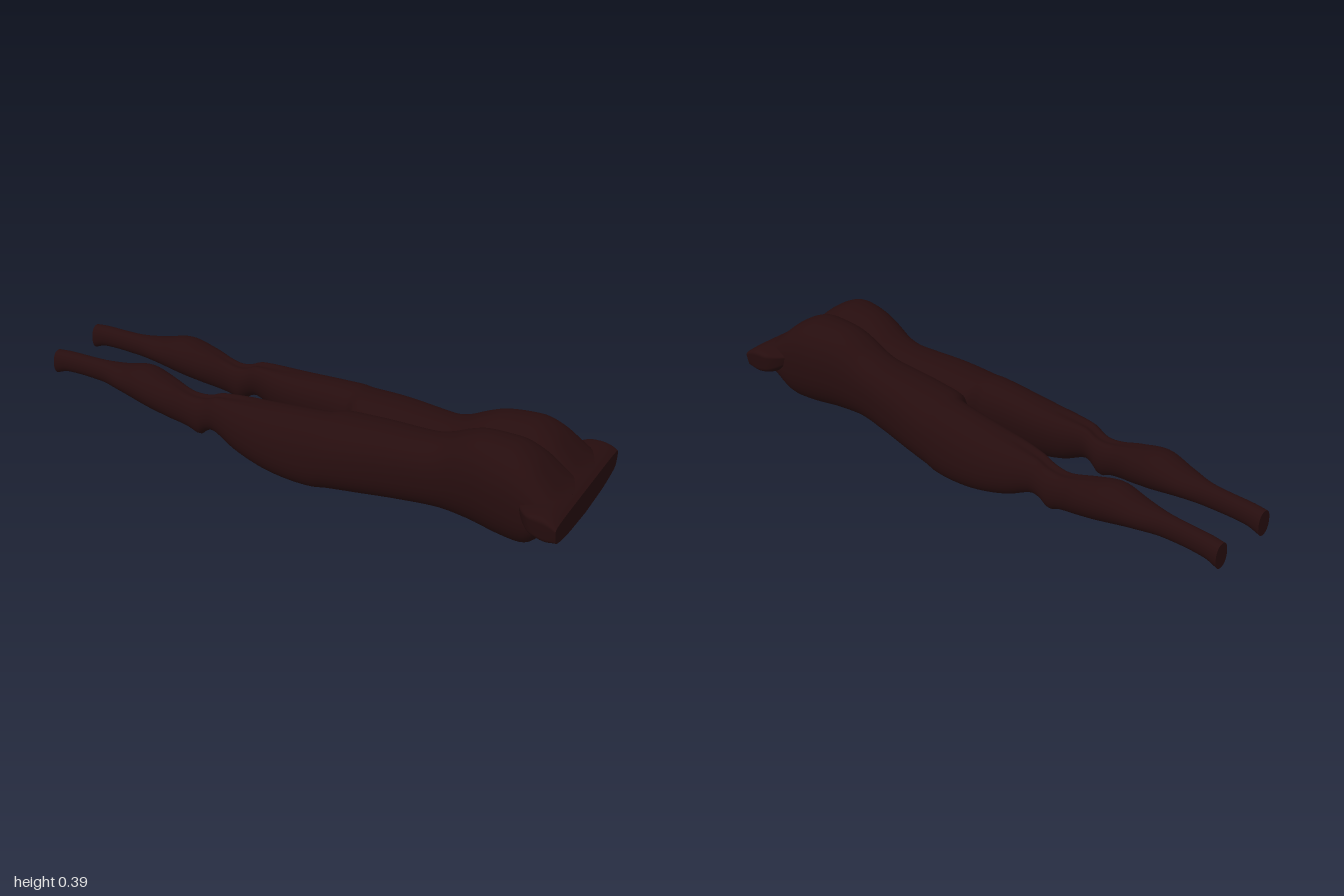
import * as THREE from 'three';

const bronze = new THREE.MeshStandardMaterial({ color: 0x260d0e });
bronze.name = 'darkBronze';

// Smoothly interpolated profile through [x, value] points
function profile(pts) {
  return x => {
    let i = 0;
    while (i < pts.length - 2 && x > pts[i + 1][0]) i++;
    const [x0, a] = pts[i], [x1, b] = pts[i + 1];
    const slope = k => {
      const p = pts[Math.max(k - 1, 0)], q = pts[Math.min(k + 1, pts.length - 1)];
      return (q[1] - p[1]) / (q[0] - p[0]);
    };
    const h = x1 - x0, t = THREE.MathUtils.clamp((x - x0) / h, 0, 1), t2 = t * t, t3 = t2 * t;
    return a * (2 * t3 - 3 * t2 + 1) + slope(i) * h * (t3 - 2 * t2 + t)
      + b * (3 * t2 - 2 * t3) + slope(i + 1) * h * (t3 - t2);
  };
}

// Closed, capped loft along x; point(x, angle) returns [y, z]; side -1 mirrors z
function loft(xs, sides, point, side = 1) {
  const pos = [], idx = [], n = xs.length;
  const tri = (a, b, c) => (side > 0 ? idx.push(a, b, c) : idx.push(a, c, b));
  const ring = x => {
    for (let j = 0; j < sides; j++) {
      const [y, z] = point(x, (j / sides) * Math.PI * 2);
      pos.push(x, y, z * side);
    }
  };
  xs.forEach(ring);
  for (let i = 0; i < n - 1; i++) {
    for (let j = 0; j < sides; j++) {
      const a = i * sides + j, b = i * sides + (j + 1) % sides;
      tri(a, a + sides, b);
      tri(b, a + sides, b + sides);
    }
  }
  // flat cut ends with their own vertices
  for (const [x, start] of [[xs[0], true], [xs[n - 1], false]]) {
    const base = pos.length / 3;
    ring(x);
    const [y0, z0] = point(x, 0), [y1, z1] = point(x, Math.PI);
    pos.push(x, (y0 + y1) / 2, side * (z0 + z1) / 2);
    for (let j = 0; j < sides; j++) {
      const k = (j + 1) % sides;
      if (start) tri(base + sides, base + j, base + k);
      else tri(base + sides, base + k, base + j);
    }
  }
  const g = new THREE.BufferGeometry();
  g.setAttribute('position', new THREE.Float32BufferAttribute(pos, 3));
  g.setIndex(idx);
  g.computeVertexNormals();
  return g;
}

const range = (a, b, n) => Array.from({ length: n + 1 }, (_, i) => a + ((b - a) * i) / n);
const power = (v, e) => Math.sign(v) * Math.abs(v) ** (2 / e);

// Leg and hip outlines: back, front, inner and outer side
const back = profile([[-1, .25], [-.95, .255], [-.8, .26], [-.7, .272], [-.6, .295], [-.5, .275], [-.4, .25],
  [-.34, .254], [-.29, .275], [-.1, .287], [.1, .302], [.3, .312], [.48, .314], [.54, .33], [.6, .36], [.66, .382],
  [.74, .389], [.8, .385], [.86, .357], [.91, .315], [.95, .28], [.98, .262]]);
const front = profile([[-1, .16], [-.95, .178], [-.8, .18], [-.7, .174], [-.6, .157], [-.5, .138], [-.4, .118],
  [-.36, .104], [-.33, .13], [-.29, .139], [-.2, .098], [-.1, .07], [0, .055], [.1, .05], [.25, .06],
  [.45, .07], [.65, .068], [.82, .058], [.87, .07], [.91, .11], [.94, .135], [.98, .15]]);
const inner = profile([[-1, .085], [-.8, .08], [-.7, .062], [-.6, .05], [-.52, .06], [-.42, .083], [-.36, .08],
  [-.3, .084], [-.2, .062], [-.1, .05], [0, .043], [.08, .034], [.125, .022], [.15, -.008], [.25, -.02],
  [.45, -.03], [.65, -.04], [.98, -.045]]);
const outer = profile([[-1, .145], [-.8, .147], [-.7, .175], [-.58, .199], [-.48, .193], [-.42, .182], [-.32, .183],
  [-.2, .206], [-.1, .219], [0, .223], [.12, .22], [.25, .207], [.4, .182], [.54, .162], [.64, .178],
  [.75, .202], [.85, .211], [.98, .21]]);
const squareness = profile([[-1, 2.2], [-.6, 2], [0, 2.2], [.4, 2.4], [.7, 2.3], [.98, 2.6]]);
const bell = (x, c, w) => Math.exp(-(((x - c) / w) ** 2));

function legPoint(x, a) {
  const e = squareness(x), c = power(Math.cos(a), e), s = power(Math.sin(a), e);
  const top = back(x), low = front(x), zi = inner(x), zo = outer(x);
  // shallow groove behind the knee and down the back of the thigh
  const groove = .012 * bell(x, -.3, .17) * bell(a, Math.PI / 2, .3);
  // thigh front leans outward
  const lean = -.02 * s * bell(x, 0, .3);
  return [(top + low) / 2 + s * (top - low) / 2 - groove, (zi + zo) / 2 + c * (zo - zi) / 2 + lean];
}

// Wide flared band at the waist cut, narrower along its lower edge
const bandTop = profile([[.84, .25], [.9, .267], [.95, .271], [.98, .262], [1, .248]]);
const bandLow = profile([[.84, .2], [.88, .17], [.92, .15], [.96, .142], [1, .152]]);
const bandHalf = profile([[.84, .19], [.87, .235], [.9, .262], [.93, .268], [1, .271]]);
function bandPoint(x, a) {
  const c = power(Math.cos(a), 7), s = power(Math.sin(a), 7);
  const top = bandTop(x), low = bandLow(x) + .025 * c * c;
  return [(top + low) / 2 + s * (top - low) / 2, c * (bandHalf(x) + .007 * (s - 1))];
}

export function createModel() {
  const model = new THREE.Group();
  model.name = 'reclinedLowerBodySculpture';
  const add = (name, geometry) => {
    const mesh = new THREE.Mesh(geometry, bronze);
    mesh.name = name;
    model.add(mesh);
  };

  // legs running into the hips
  for (const [side, name] of [[1, 'legFrontSide'], [-1, 'legBackSide']]) {
    add(name, loft(range(-1, .98, 132), 48, legPoint, side));
  }
  add('waistBand', loft(range(.84, 1, 20), 64, bandPoint));

  // small tapered mass on the underside between the thighs
  const g = new THREE.SphereGeometry(1, 28, 20);
  const p = g.attributes.position;
  for (let i = 0; i < p.count; i++) {
    const x = p.getX(i), y = p.getY(i), z = p.getZ(i);
    const taper = y < 0 ? 1 + .2 * y : 1;
    p.setXYZ(i, .29 + x * .07 * taper + y * .045, .08 + y * .08, z * .042 * taper);
  }
  g.computeVertexNormals();
  add('groin', g);

  return model;
}
